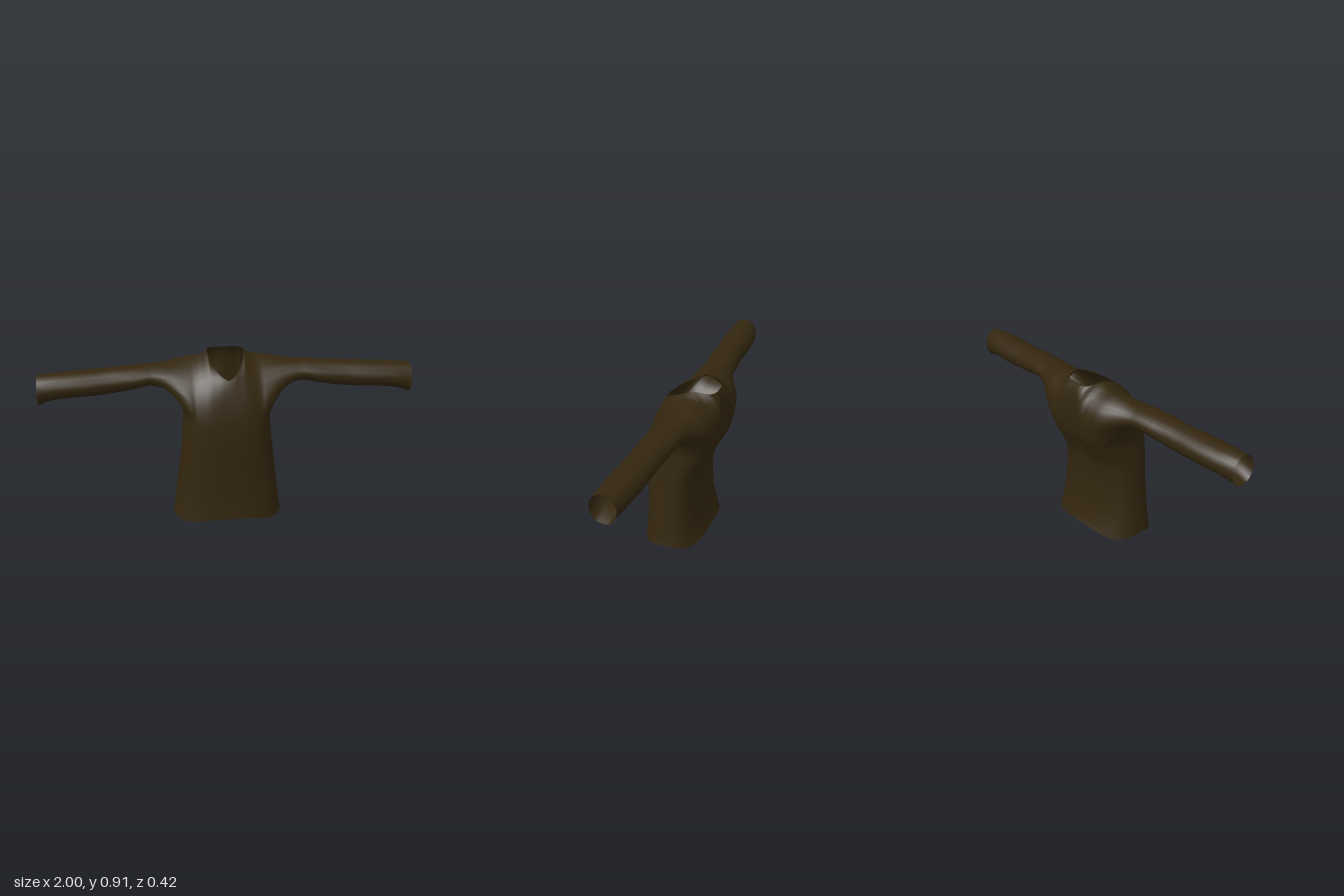
import * as THREE from 'three';
import { mergeVertices } from 'three/addons/utils/BufferGeometryUtils.js';

const V = (x, y, z) => new THREE.Vector3(x, y, z);

// torso cross-sections: height, half width, front z, back z, centre z, squareness
const TORSO = [
  [0, 0.3, 0.208, -0.137, 0.045, 2.6],
  [0.05, 0.292, 0.205, -0.122, 0.045, 2.6],
  [0.15, 0.28, 0.197, -0.096, 0.045, 2.6],
  [0.3, 0.261, 0.2, -0.095, 0.04, 2.6],
  [0.42, 0.247, 0.205, -0.102, 0.035, 2.7],
  [0.5, 0.239, 0.204, -0.142, 0.02, 2.9],
  [0.56, 0.235, 0.2, -0.175, 0.005, 3.1],
  [0.6, 0.235, 0.195, -0.195, 0, 3.2],
];

// neckline and shoulder ridge by column: x, front y, front z, back y, back z
const EDGE = [
  [0, 0.8, 0.13, 0.895, -0.165],
  [0.025, 0.812, 0.122, 0.895, -0.165],
  [0.05, 0.83, 0.098, 0.897, -0.16],
  [0.075, 0.855, 0.055, 0.9, -0.145],
  [0.09, 0.88, 0.01, 0.905, -0.12],
  [0.1, 0.912, -0.06, 0.912, -0.06],
  [0.12, 0.897, -0.063, 0.897, -0.063],
  [0.145, 0.889, -0.066, 0.889, -0.066],
  [0.17, 0.884, -0.07, 0.884, -0.07],
];

// sleeve stations: x, top, bottom, front z, back z
const SLEEVE = [
  [0.42, 0.858, 0.745, 0.066, -0.11],
  [0.5, 0.855, 0.73, 0.078, -0.1],
  [0.6, 0.85, 0.715, 0.076, -0.085],
  [0.7, 0.846, 0.708, 0.088, -0.082],
  [0.8, 0.843, 0.705, 0.097, -0.08],
  [0.9, 0.84, 0.7, 0.1, -0.068],
  [0.96, 0.837, 0.688, 0.1, -0.055],
  [1, 0.835, 0.67, 0.1, -0.042],
];

const STEPS = 8;   // rows in each yoke panel
const SIDE = 9;    // segments across each side of the torso

// ring angles: front columns, left side, back columns, right side
const columns = [...EDGE.slice(1).reverse().map(e => -e[0]), ...EDGE.map(e => e[0])];
const angleOf = x => {
  const a = Math.acos(Math.pow(Math.abs(x) / 0.235, 1.6));
  return x < 0 ? Math.PI - a : a;
};
const front = columns.map(angleOf);
const corner = front[front.length - 1];
const side = [];
for (let i = 1; i < SIDE; i++) side.push(corner * (1 - 2 * i / SIDE));
const back = front.map(a => -a).reverse();
const angles = [...front, ...side, ...back, ...side.map(a => Math.PI + a), front[0]];

function torsoPoint([y, a, zf, zb, zc, n], p) {
  const c = Math.cos(p), s = Math.sin(p);
  const x = a * Math.sign(c) * Math.pow(Math.abs(c), 2 / n);
  const depth = Math.pow(Math.abs(s), 2 / n);
  let z = zc + depth * (s > 0 ? zf - zc : zb - zc);
  // soft hollow along the spine
  if (s < 0) z += 0.03 * Math.exp(-((x / 0.07) ** 2)) * THREE.MathUtils.smoothstep(y, 0.35, 0.56);
  return V(x, y === 0 ? 0.01 + 0.01 * Math.cos(4 * p) : y, z);
}

// one yoke column, from the chest ring up to the neckline or shoulder
function yokeColumn(x, isFront) {
  const a = angleOf(x), e = EDGE.find(r => r[0] === Math.abs(x));
  const p = torsoPoint(TORSO[TORSO.length - 1], isFront ? a : -a);
  const end = isFront ? V(x, e[1], e[2]) : V(x, e[3], e[4]);
  const bulge = isFront ? -0.033 : -0.04 - 0.3 * Math.abs(x);
  const mid = V(x, 0.6 + 0.8 * (end.y - 0.6), p.z + bulge);
  return new THREE.QuadraticBezierCurve3(p, mid, end).getPoints(STEPS);
}

const transpose = m => m[0].map((_, i) => m.map(r => r[i]));

// rows of the left sleeve: a blend out of the armhole, then the tube
function sleeveRows() {
  const b = yokeColumn(0.17, false), f = yokeColumn(0.17, true).reverse();
  const under = side.map(a => torsoPoint(TORSO[TORSO.length - 1], a));
  const hole = [...b, ...f.slice(1), ...under, b[0]];
  const ring = ([x, top, bot, zf, zb]) => hole.map(h => {
    const t = Math.atan2(h.y - 0.75, h.z + 0.01);
    return V(x, (top + bot) / 2 + Math.sin(t) * (top - bot) / 2,
      (zf + zb) / 2 + Math.cos(t) * (zf - zb) / 2);
  });
  const first = ring(SLEEVE[0]);
  const blend = hole.map((h, i) => {
    const k = THREE.MathUtils.smoothstep(h.y, 0.6, 0.76);
    const out = V(0.01 + 0.3 * Math.abs(h.z), 0.09, 0).lerp(V(0.08, 0, 0), k);
    return new THREE.CubicBezierCurve3(h, h.clone().add(out),
      first[i].clone().sub(V(0.12, 0, 0)), first[i]).getPoints(10);
  });
  return [...transpose(blend), ...SLEEVE.slice(1).map(ring)];
}

export function createModel() {
  const group = new THREE.Group();
  group.name = 'shirt';
  const cloth = new THREE.MeshStandardMaterial({ color: 0x33260f, side: THREE.DoubleSide });
  cloth.name = 'dark brown cloth';

  const pos = [], index = [], parts = [];
  const addGrid = (rows) => {
    const base = pos.length / 3, w = rows[0].length;
    rows.forEach(r => r.forEach(p => pos.push(p.x, p.y, p.z)));
    for (let i = 0; i < rows.length - 1; i++) {
      for (let j = 0; j < w - 1; j++) {
        const a = base + i * w + j, d = a + w;
        index.push(a, a + 1, d + 1, a, d + 1, d);
      }
    }
  };
  const part = (name, ...grids) => {
    const start = index.length;
    grids.forEach(addGrid);
    parts.push({ name, start, end: index.length });
  };

  part('body', TORSO.map(r => angles.map(a => torsoPoint(r, a))));
  part('yoke',
    transpose(columns.map(x => yokeColumn(x, true))),
    transpose([...columns].reverse().map(x => yokeColumn(x, false))));
  const left = sleeveRows();
  part('leftSleeve', left);
  part('rightSleeve', left.map(r => r.map(p => V(-p.x, p.y, p.z)).reverse()));

  // weld the seams so shading runs smoothly across the parts
  let geo = new THREE.BufferGeometry();
  geo.setAttribute('position', new THREE.Float32BufferAttribute(pos, 3));
  geo.setIndex(index);
  geo = mergeVertices(geo, 1e-4);
  geo.computeVertexNormals();

  const welded = Array.from(geo.index.array);
  for (const { name, start, end } of parts) {
    const g = new THREE.BufferGeometry();
    g.setAttribute('position', geo.attributes.position);
    g.setAttribute('normal', geo.attributes.normal);
    g.setIndex(welded.slice(start, end));
    const mesh = new THREE.Mesh(g, cloth);
    mesh.name = name;
    group.add(mesh);
  }
  return group;
}
